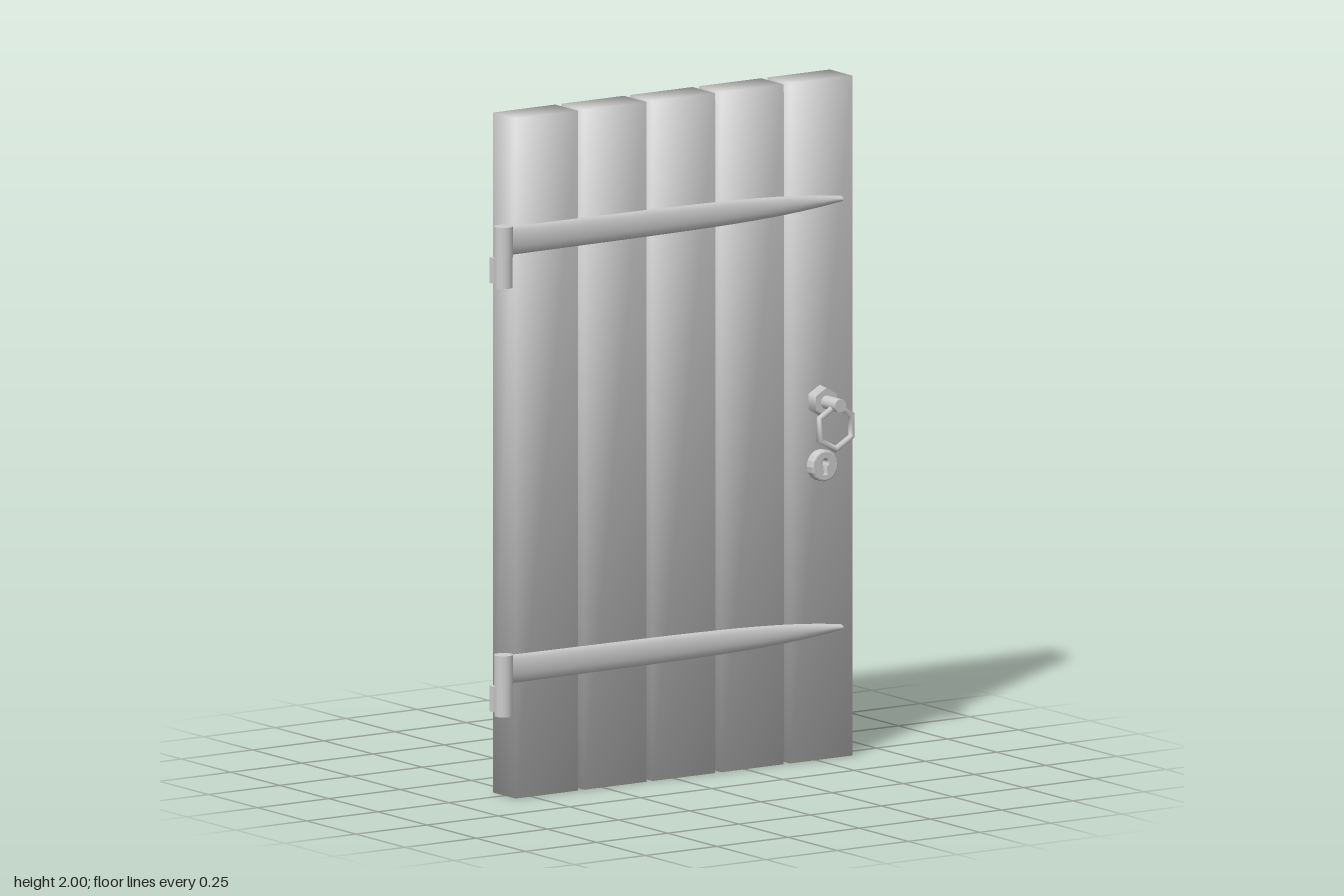
import * as THREE from 'three';

const metal = new THREE.MeshStandardMaterial({ color: 0xcccccc });

function add(parent, name, geometry, x = 0, y = 0, z = 0) {
  const mesh = new THREE.Mesh(geometry, metal);
  mesh.name = name;
  mesh.position.set(x, y, z);
  parent.add(mesh);
  return mesh;
}

// Box whose corner normals are blended for a soft, worn look
function softBox(w, h, d) {
  const g = new THREE.BoxGeometry(w, h, d);
  const p = g.attributes.position, n = g.attributes.normal, s = 1 / Math.sqrt(3);
  for (let i = 0; i < p.count; i++) {
    n.setXYZ(i, Math.sign(p.getX(i)) * s, Math.sign(p.getY(i)) * s, Math.sign(p.getZ(i)) * s);
  }
  return g;
}

// Long rounded strap tapering to a blunt point, running along x
function strapGeometry(x0, x1) {
  const g = new THREE.CylinderGeometry(1, 1, 1, 16, 16, false, Math.PI);
  g.rotateZ(-Math.PI / 2);
  const p = g.attributes.position;
  for (let i = 0; i < p.count; i++) {
    const t = p.getX(i) + 0.5;
    const half = 0.042 - 0.006 * t - 0.028 * t ** 6;
    p.setXYZ(i, x0 + (x1 - x0) * t, p.getY(i) * half, p.getZ(i) * 0.015);
  }
  g.computeVertexNormals();
  return g;
}

// Round plate pierced by a keyhole
function keyPlateGeometry(depth) {
  const shape = new THREE.Shape();
  shape.absarc(0, 0, 0.041, 0, Math.PI * 2, false);
  const hole = new THREE.Path();
  hole.moveTo(-0.01, -0.027);
  hole.lineTo(-0.006, 0);
  hole.absarc(0, 0.01, 0.014, Math.PI * 1.36, -Math.PI * 0.36, true);
  hole.lineTo(0.006, 0);
  hole.lineTo(0.01, -0.027);
  hole.closePath();
  shape.holes.push(hole);
  return new THREE.ExtrudeGeometry(shape, {
    depth: depth - 0.006, bevelThickness: 0.006, bevelSize: 0.005, bevelSegments: 2, curveSegments: 8,
  });
}

function createHinge(y) {
  const hinge = new THREE.Group();
  hinge.name = 'hinge';
  hinge.position.y = y;
  const x = -0.604, z = 0.065;
  add(hinge, 'hingeStrap', strapGeometry(x, 0.58), 0, 0, z);
  add(hinge, 'hingeKnuckle', new THREE.CylinderGeometry(0.028, 0.028, 0.09, 16), x, 0, z);
  add(hinge, 'hingePin', new THREE.CylinderGeometry(0.027, 0.027, 0.09, 16), x, -0.09, z);
  add(hinge, 'hingeWallTab', new THREE.BoxGeometry(0.03, 0.075, 0.045), x, -0.09, 0.038);
  return hinge;
}

// Latch hardware for one face, built facing +z from the door surface
function createLatch(name) {
  const latch = new THREE.Group();
  latch.name = name;
  const y = 1.057;
  const facing = (r0, r1, length, sides) =>
    new THREE.CylinderGeometry(r0, r1, length, sides).rotateX(Math.PI / 2);
  add(latch, 'handlePlate', facing(0.042, 0.046, 0.035, 6), 0, y, 0.0725);
  add(latch, 'handleSpindle', facing(0.02, 0.02, 0.11, 12), 0, y, 0.107);
  const ring = new THREE.TorusGeometry(0.064, 0.01, 8, 6).rotateZ(Math.PI / 2);
  add(latch, 'handleRing', ring, 0, 0.99, 0.136);
  add(latch, 'keyPlate', keyPlateGeometry(0.032), 0, 0.868, 0.053);
  return latch;
}

export function createModel() {
  const door = new THREE.Group();
  door.name = 'plankDoor';

  // Five upright planks over a thinner core that fills the gaps
  for (let i = 0; i < 5; i++) {
    add(door, 'plank', softBox(0.219, 2, 0.115), -0.446 + i * 0.241, 1, -0.002);
  }
  add(door, 'core', softBox(0.96, 1.95, 0.066), 0.036, 0.995, -0.008);

  // Strap hinges
  for (const y of [1.645, 0.385]) door.add(createHinge(y));

  // Ring handle and key plate on both faces
  const front = createLatch('frontLatch');
  front.position.x = 0.513;
  const back = createLatch('backLatch');
  back.position.set(0.513, 0, -0.003);
  back.rotation.y = Math.PI;
  door.add(front, back);
  return door;
}
